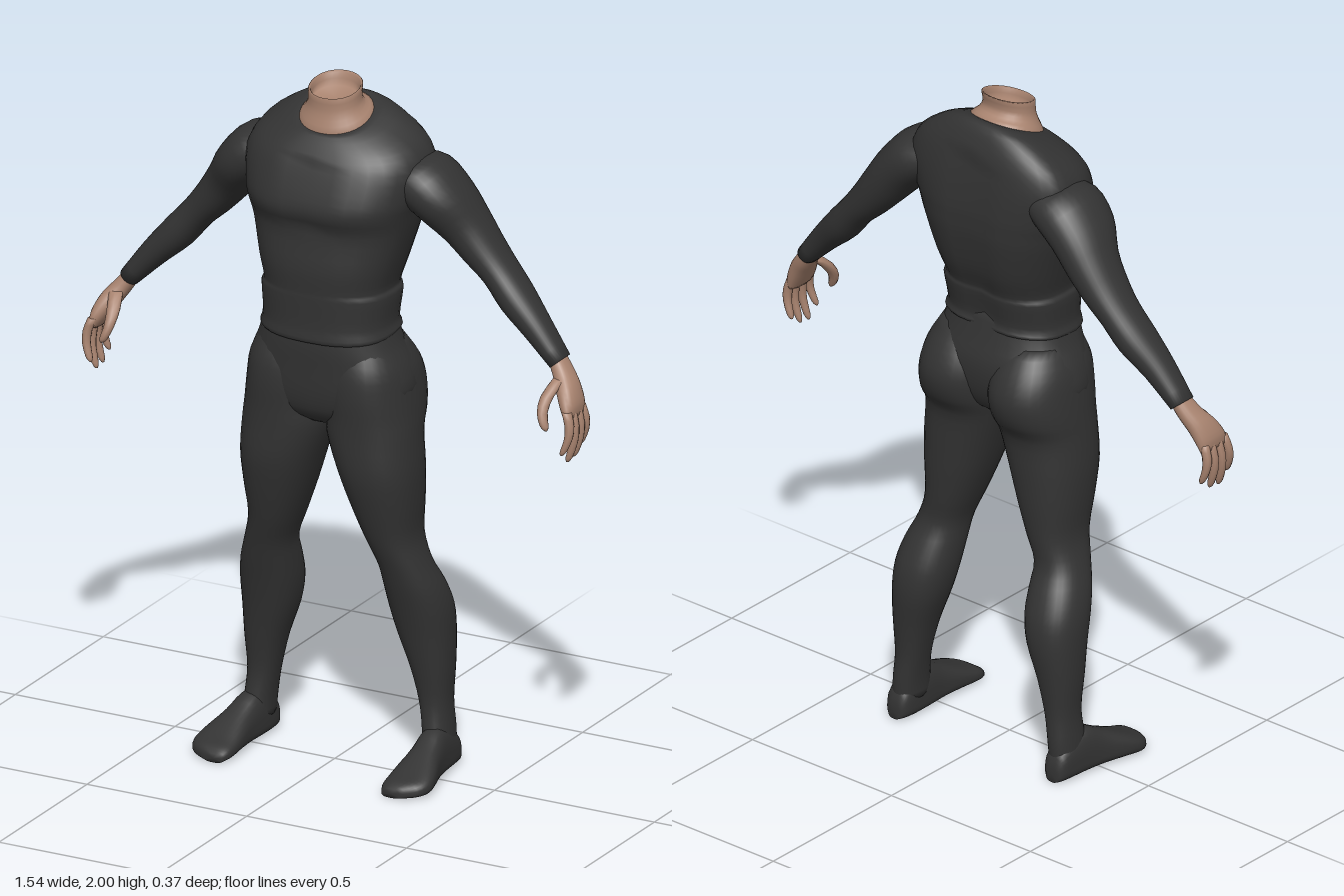
import * as THREE from 'three';

const suit = new THREE.MeshStandardMaterial({ color: 0x333333 });
suit.name = 'charcoal suit';
const skin = new THREE.MeshStandardMaterial({ color: 0xa8836f });
skin.name = 'skin';

// Squared-off oval: half width hw, depth from zf (front) to zb (back).
// tilt turns it about z, slope lifts it along z, p below 1 makes it boxier.
function oval(x, y, hw, zf, zb, { zc = (zf + zb) / 2, tilt = 0, slope = 0, p = 0.88, n = 32 } = {}) {
  const pow = (v) => Math.sign(v) * Math.abs(v) ** p;
  return Array.from({ length: n }, (_, j) => {
    const a = (j / n) * Math.PI * 2;
    const u = hw * pow(Math.cos(a));
    const s = pow(Math.sin(a));
    const z = zc + s * (s > 0 ? zf - zc : zc - zb);
    return new THREE.Vector3(x + u * Math.cos(tilt), y + u * Math.sin(tilt) + slope * z, z);
  });
}

// Closed smooth skin through a row of rings; side = -1 mirrors it.
function loft(name, material, rings, { side = 1, steps = 3, shape } = {}) {
  const n = rings[0].length;
  const rows = (rings.length - 1) * steps + 1;
  const columns = rings[0].map((_, j) => new THREE.CatmullRomCurve3(rings.map((r) => r[j]), false, 'catmullrom', 0.5));
  const pts = [];
  for (let i = 0; i < rows; i++) {
    for (const c of columns) {
      const q = c.getPoint(i / (rows - 1));
      if (shape) shape(q);
      q.x *= side;
      pts.push(q);
    }
  }
  for (const start of [0, (rows - 1) * n]) {
    const mid = new THREE.Vector3();
    for (let j = 0; j < n; j++) mid.addScaledVector(pts[start + j], 1 / n);
    pts.push(mid);
  }
  const faces = [];
  for (let j = 0; j < n; j++) {
    const k = (j + 1) % n;
    for (let i = 0; i < rows - 1; i++) {
      const a = i * n + j, b = i * n + k;
      faces.push([a, b, a + n], [b, b + n, a + n]);
    }
    faces.push([rows * n, k, j], [rows * n + 1, (rows - 1) * n + j, (rows - 1) * n + k]);
  }
  // Turn all faces outward
  const volume = faces.reduce((v, [a, b, c]) => v + pts[a].dot(pts[b].clone().cross(pts[c])), 0);
  if (volume < 0) faces.forEach((f) => f.reverse());
  const geometry = new THREE.BufferGeometry().setFromPoints(pts);
  geometry.setIndex(faces.flat());
  geometry.computeVertexNormals();
  const mesh = new THREE.Mesh(geometry, material);
  mesh.name = name;
  return mesh;
}

// Rows: y, half width, front z, back z, widest z, slope
function shirt() {
  const rows = [
    [1.90, 0.108, 0.083, -0.108, -0.02, -0.4],
    [1.882, 0.165, 0.1, -0.135, -0.04, -0.33],
    [1.838, 0.24, 0.122, -0.162, -0.06, -0.15],
    [1.78, 0.272, 0.145, -0.178, -0.06, 0],
    [1.70, 0.262, 0.176, -0.186, -0.04, 0],
    [1.655, 0.248, 0.181, -0.186, -0.03, 0],
    [1.60, 0.234, 0.16, -0.182, -0.02, 0],
    [1.50, 0.206, 0.17, -0.162, 0, 0],
    [1.43, 0.187, 0.166, -0.135, 0.01, 0],
    [1.41, 0.196, 0.166, -0.135, 0.01, 0],
    [1.33, 0.19, 0.163, -0.118, 0.015, -0.03],
    [1.30, 0.198, 0.166, -0.124, 0.015, -0.08],
    [1.29, 0.18, 0.15, -0.11, 0.015, -0.08],
  ];
  const rings = rows.map(([y, hw, f, b, zc, slope]) => oval(0, y, hw, f, b, { zc, slope, p: 0.8 }));
  // Shallow grooves down the spine and between the chest muscles
  const shape = (q) => {
    const near = Math.exp(-((q.x / 0.05) ** 2));
    if (q.y < 1.84 && q.z < -0.08) q.z += 0.015 * near;
    if (q.y < 1.8 && q.y > 1.62 && q.z > 0.1) q.z -= 0.008 * near;
  };
  return loft('shirt', suit, rings, { shape });
}

function hips() {
  const rows = [
    [1.35, 0.182, 0.15, -0.105], [1.27, 0.204, 0.157, -0.125],
    [1.20, 0.235, 0.153, -0.142], [1.12, 0.244, 0.147, -0.135],
    [1.06, 0.18, 0.13, -0.11], [1.025, 0.07, 0.09, -0.07],
  ];
  return loft('hips', suit, rows.map(([y, hw, f, b]) => oval(0, y, hw, f, b, { p: 0.84 })));
}

// Rows: y, inner x, outer x, front z, back z
function leg(side) {
  const rows = [
    [1.27, 0.03, 0.2, 0.12, -0.1], [1.20, 0.008, 0.234, 0.145, -0.15],
    [1.13, 0, 0.247, 0.15, -0.174], [1.06, 0, 0.255, 0.145, -0.16],
    [1.0, 0.004, 0.26, 0.142, -0.125], [0.9, 0.036, 0.266, 0.138, -0.118],
    [0.8, 0.07, 0.262, 0.115, -0.113], [0.7, 0.108, 0.256, 0.086, -0.105],
    [0.62, 0.138, 0.278, 0.06, -0.102], [0.55, 0.143, 0.304, 0.04, -0.135],
    [0.48, 0.148, 0.318, 0.02, -0.162], [0.4, 0.165, 0.32, 0, -0.168],
    [0.3, 0.2, 0.318, -0.02, -0.156], [0.2, 0.225, 0.312, -0.035, -0.146],
    [0.12, 0.238, 0.318, -0.028, -0.148], [0.06, 0.242, 0.322, -0.02, -0.146],
  ];
  return loft('leg', suit, rows.map(([y, a, b, f, k]) => oval((a + b) / 2, y, (b - a) / 2, f, k)), { side });
}

// Rows: z, centre x, half width, top height; rings stand upright with a flat sole
function foot(side) {
  const rows = [
    [-0.156, 0.284, 0.02, 0.05], [-0.14, 0.284, 0.036, 0.09],
    [-0.1, 0.284, 0.042, 0.12], [-0.04, 0.287, 0.045, 0.135],
    [0.02, 0.293, 0.05, 0.108], [0.08, 0.3, 0.062, 0.08],
    [0.13, 0.303, 0.067, 0.058], [0.165, 0.295, 0.056, 0.045],
    [0.188, 0.278, 0.028, 0.03],
  ];
  const rings = rows.map(([z, x, hw, top]) =>
    oval(x, 0, hw, top, 0.004, { zc: Math.min(0.035, top * 0.45), p: 0.75 })
      .map((q) => new THREE.Vector3(q.x, q.z, z)));
  return loft('foot', suit, rings, { side });
}

// Rows: x, y, half thickness, centre z, half depth, tilt
function sleeve(side) {
  const rows = [
    [0.17, 1.77, 0.05, -0.06, 0.08, 0.9], [0.245, 1.745, 0.08, -0.055, 0.11, 0.8],
    [0.315, 1.685, 0.075, -0.06, 0.108, 0.7], [0.37, 1.615, 0.065, -0.08, 0.085, 0.68],
    [0.42, 1.553, 0.056, -0.085, 0.074, 0.7], [0.472, 1.497, 0.048, -0.085, 0.066, 0.78],
    [0.528, 1.432, 0.049, -0.078, 0.063, 0.8], [0.597, 1.362, 0.04, -0.067, 0.05, 0.75],
    [0.672, 1.278, 0.029, -0.06, 0.039, 0.7],
  ];
  const rings = rows.map(([x, y, r, z, d, tilt]) => oval(x, y, r, z + d, z - d, { tilt, p: 0.95 }));
  return loft('sleeve', suit, rings, { side });
}

function hand(side) {
  const group = new THREE.Group();
  group.name = side > 0 ? 'leftHand' : 'rightHand';
  const palm = [
    [0.662, 1.29, 0.022, -0.06, 0.032], [0.69, 1.25, 0.026, -0.048, 0.038],
    [0.715, 1.215, 0.028, -0.03, 0.047], [0.736, 1.175, 0.024, -0.016, 0.053],
    [0.745, 1.145, 0.014, -0.012, 0.05],
  ].map(([x, y, r, z, d]) => oval(x, y, r, z + d, z - d, { tilt: 0.5, n: 20 }));
  group.add(loft('palm', skin, palm, { side }));

  const digit = (name, path, radii) => {
    const rings = path.map(([x, y, z], i) => oval(x, y, radii[i], z + radii[i], z - radii[i], { n: 10, p: 1 }));
    group.add(loft(name, skin, rings, { side, steps: 2 }));
  };
  // Four gently curled fingers, fore to little
  [[0.03, 0.05, 1.05], [0.003, 0.016, 1.02], [-0.025, -0.02, 1.025], [-0.05, -0.056, 1.05]]
    .forEach(([z0, z1, tip], i) => {
      const at = (t) => [1.17 + (tip - 1.17) * t, z0 + (z1 - z0) * t];
      digit('finger' + (i + 1),
        [[0.742, ...at(0)], [0.754, ...at(0.3)], [0.754, ...at(0.6)], [0.742, ...at(0.9)], [0.737, ...at(1)]],
        [0.014, 0.0135, 0.012, 0.01, 0.004]);
    });
  digit('thumb',
    [[0.695, 1.245, -0.02], [0.679, 1.205, 0.025], [0.678, 1.165, 0.052], [0.69, 1.13, 0.062], [0.695, 1.118, 0.062]],
    [0.02, 0.019, 0.015, 0.012, 0.004]);
  return group;
}

// Neck with a hollow top; rows: y, half width, front z, back z, slope
function neck() {
  const rows = [
    [1.875, 0.112, 0.076, -0.1, -0.38], [1.902, 0.104, 0.079, -0.1, -0.38],
    [1.925, 0.086, 0.07, -0.076, -0.32], [1.95, 0.076, 0.064, -0.067, -0.28],
    [1.98, 0.076, 0.065, -0.075, -0.27], [1.978, 0.069, 0.058, -0.068, -0.27],
    [1.945, 0.064, 0.052, -0.058, -0.27],
  ];
  return loft('neck', skin, rows.map(([y, hw, f, b, slope]) => oval(0, y, hw, f, b, { slope, p: 0.95 })), { steps: 2 });
}

export function createModel() {
  const model = new THREE.Group();
  model.name = 'figure';
  model.add(neck(), shirt(), hips());
  for (const side of [1, -1]) {
    model.add(sleeve(side), hand(side), leg(side), foot(side));
  }
  return model;
}
